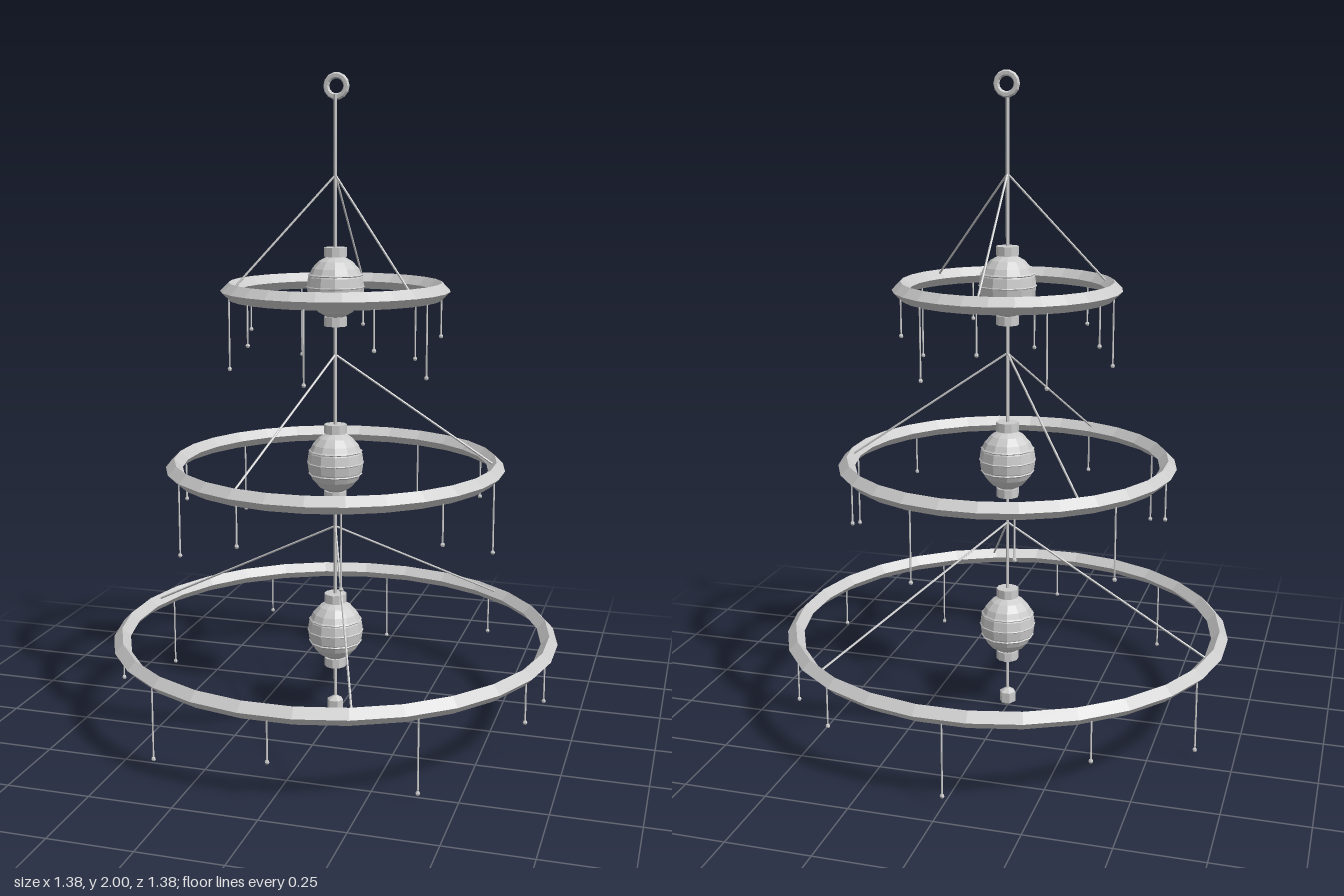
import * as THREE from 'three';

const metal = new THREE.MeshStandardMaterial({ color: 0xcccccc, flatShading: true });
metal.name = 'pale metal';

function add(parent, geometry, name, x = 0, y = 0, z = 0) {
  const mesh = new THREE.Mesh(geometry, metal);
  mesh.name = name;
  mesh.position.set(x, y, z);
  parent.add(mesh);
  return mesh;
}

// Thin round bar between two points
function bar(parent, a, b, radius, name, sides = 5) {
  const dir = b.clone().sub(a);
  const mid = a.clone().add(b).multiplyScalar(0.5);
  const mesh = add(parent, new THREE.CylinderGeometry(radius, radius, dir.length(), sides), name, mid.x, mid.y, mid.z);
  mesh.quaternion.setFromUnitVectors(new THREE.Vector3(0, 1, 0), dir.normalize());
  return mesh;
}

// Point at an angle in degrees, measured from +x towards +z
function polar(radius, degrees, y) {
  const t = THREE.MathUtils.degToRad(degrees);
  return new THREE.Vector3(radius * Math.cos(t), y, radius * Math.sin(t));
}

// Ribbed globe with a collar at each end
function makeLantern(y) {
  const lantern = new THREE.Group();
  lantern.name = 'lantern';
  lantern.position.y = y;
  const globe = add(lantern, new THREE.SphereGeometry(0.087, 12, 10), 'globe');
  globe.scale.y = 1.1;
  globe.rotation.y = Math.PI / 12;
  for (const h of [-0.036, 0, 0.036]) {
    const r = h === 0 ? 0.085 : 0.08;
    const rib = add(lantern, new THREE.TorusGeometry(r, 0.004, 4, 12), 'rib', 0, h, 0);
    rib.rotation.set(Math.PI / 2, 0, Math.PI / 12);
  }
  for (const s of [-1, 1]) {
    add(lantern, new THREE.CylinderGeometry(0.035, 0.035, 0.028, 10), 'collar', 0, s * 0.105, 0);
  }
  return lantern;
}

// Hoop with three stays and ten hanging drops
function makeTier({ y, radius, apex, stayStart, dropStart, longFirst }) {
  const tier = new THREE.Group();
  tier.name = 'tier';
  const hoop = add(tier, new THREE.TorusGeometry(radius, 0.026, 4, 28), 'hoop', 0, y, 0);
  hoop.rotation.set(Math.PI / 2, 0, Math.PI / 28);

  for (let i = 0; i < 3; i++) {
    const end = polar(radius - 0.014, stayStart + i * 120, y + 0.016);
    bar(tier, new THREE.Vector3(0, apex, 0), end, 0.0035, 'stay');
  }

  for (let i = 0; i < 10; i++) {
    const long = (i % 2 === 0) === longFirst;
    const top = polar(radius, dropStart + i * 36, y - 0.015);
    const end = top.clone().setY(y - (long ? 0.24 : 0.142));
    bar(tier, top, end, 0.0028, 'dropThread', 4);
    add(tier, new THREE.SphereGeometry(0.007, 6, 4), 'dropBead', end.x, end.y, end.z);
  }
  tier.add(makeLantern(y + 0.01));
  return tier;
}

export function createModel() {
  const model = new THREE.Group();
  model.name = 'tieredHangingMobile';

  // Central rod, hanging ring and finial
  bar(model, new THREE.Vector3(0, 0.03, 0), new THREE.Vector3(0, 1.935, 0), 0.0055, 'centralRod', 6);
  add(model, new THREE.TorusGeometry(0.031, 0.0095, 6, 14), 'hangingRing', 0, 1.9595, -0.01);
  const finial = add(model, new THREE.SphereGeometry(0.03, 6, 3), 'finial', 0, 0.033, 0);
  finial.scale.y = 1.1;

  const tiers = [
    { y: 1.357, radius: 0.322, apex: 1.7, stayStart: 30, dropStart: 18, longFirst: true },
    { y: 0.815, radius: 0.496, apex: 1.16, stayStart: 110, dropStart: 0, longFirst: true },
    { y: 0.273, radius: 0.669, apex: 0.62, stayStart: 70, dropStart: 18, longFirst: false },
  ];
  for (const t of tiers) model.add(makeTier(t));
  return model;
}
